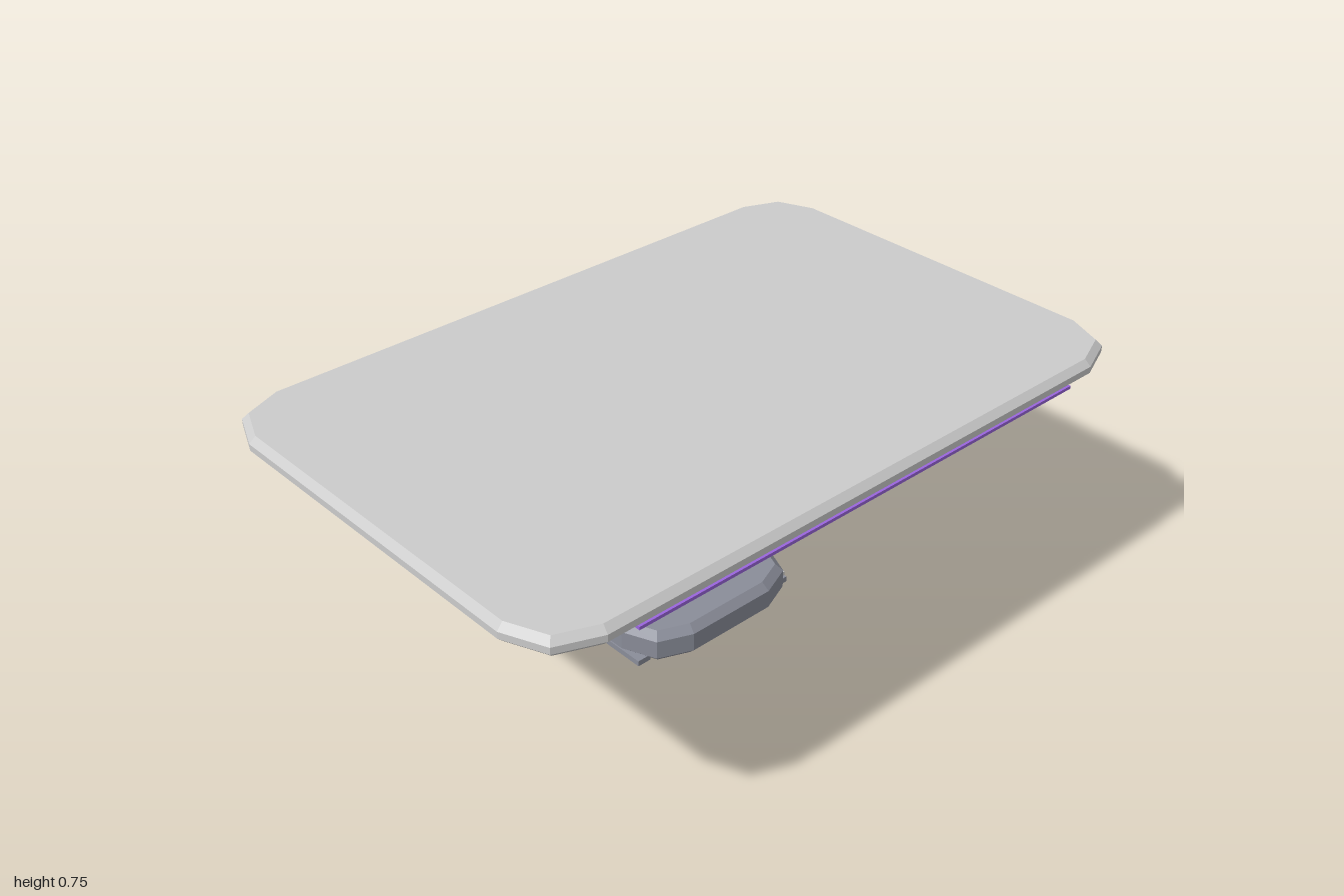
import * as THREE from 'three';

const paint = (color) => new THREE.MeshStandardMaterial({ color, flatShading: true });

// Rectangle outline with each corner rounded in two straight steps
function roundedOutline(hx, hz, r) {
  const points = [];
  const corners = [[1, 1], [-1, 1], [-1, -1], [1, -1]];
  corners.forEach(([sx, sz], c) => {
    for (let i = 0; i <= 2; i++) {
      const a = (c + i / 2) * Math.PI / 2;
      const p = new THREE.Vector2(sx * (hx - r) + r * Math.cos(a), sz * (hz - r) + r * Math.sin(a));
      if (!points.some((q) => q.distanceTo(p) < 1e-4)) points.push(p);
    }
  });
  return new THREE.Shape(points);
}

// Upright block with chamfered top and bottom rims
function chamferedBlock(name, hx, hz, r, y0, y1, inset, rise, material) {
  const geometry = new THREE.ExtrudeGeometry(roundedOutline(hx, hz, r), {
    depth: y1 - y0 - 2 * rise, bevelEnabled: true, bevelSegments: 1,
    bevelSize: inset, bevelOffset: -inset, bevelThickness: rise,
  });
  geometry.rotateX(-Math.PI / 2).translate(0, y0 + rise, 0);
  const mesh = new THREE.Mesh(geometry, material);
  mesh.name = name;
  return mesh;
}

// Box given by its lowest and highest corners
function box(name, [x0, y0, z0], [x1, y1, z1], material) {
  const mesh = new THREE.Mesh(new THREE.BoxGeometry(x1 - x0, y1 - y0, z1 - z0), material);
  mesh.position.set((x0 + x1) / 2, (y0 + y1) / 2, (z0 + z1) / 2);
  mesh.name = name;
  return mesh;
}

export function createModel() {
  const group = new THREE.Group();
  group.name = 'pedestalTable';
  const grey = paint(0xcccccc);
  const slate = paint(0x8a8d99);
  const panelGrey = paint(0x8f9299);

  // Table top, column and foot
  group.add(
    chamferedBlock('tableTop', 1, 0.665, 0.165, 0.697, 0.752, 0.018, 0.018, grey),
    chamferedBlock('column', 0.147, 0.117, 0.117, 0.1, 0.698, 0.034, 0.036, grey),
    chamferedBlock('base', 0.282, 0.183, 0.14, 0, 0.1, 0.022, 0.022, slate),
  );

  // Side rails low on the foot
  for (const s of [-1, 1]) {
    const rail = box('baseRail', [0.24, 0.003, -0.115], [0.284, 0.02, 0.115], slate);
    rail.position.x *= s;
    group.add(rail);
  }
  group.add(box('baseTab', [0.262, 0.02, 0.075], [0.284, 0.034, 0.106], grey));

  // Control panel on the column front
  group.add(
    box('controlPanel', [-0.085, 0.35, 0.11], [0.085, 0.48, 0.134], panelGrey),
    box('panelLight', [-0.032, 0.393, 0.13], [0.032, 0.44, 0.141], paint(0xffcc77)),
  );

  // Light strip under the front edge
  group.add(box('lightStrip', [-0.75, 0.702, 0.65], [0.75, 0.711, 0.668], paint(0x9a66dd)));

  return group;
}
